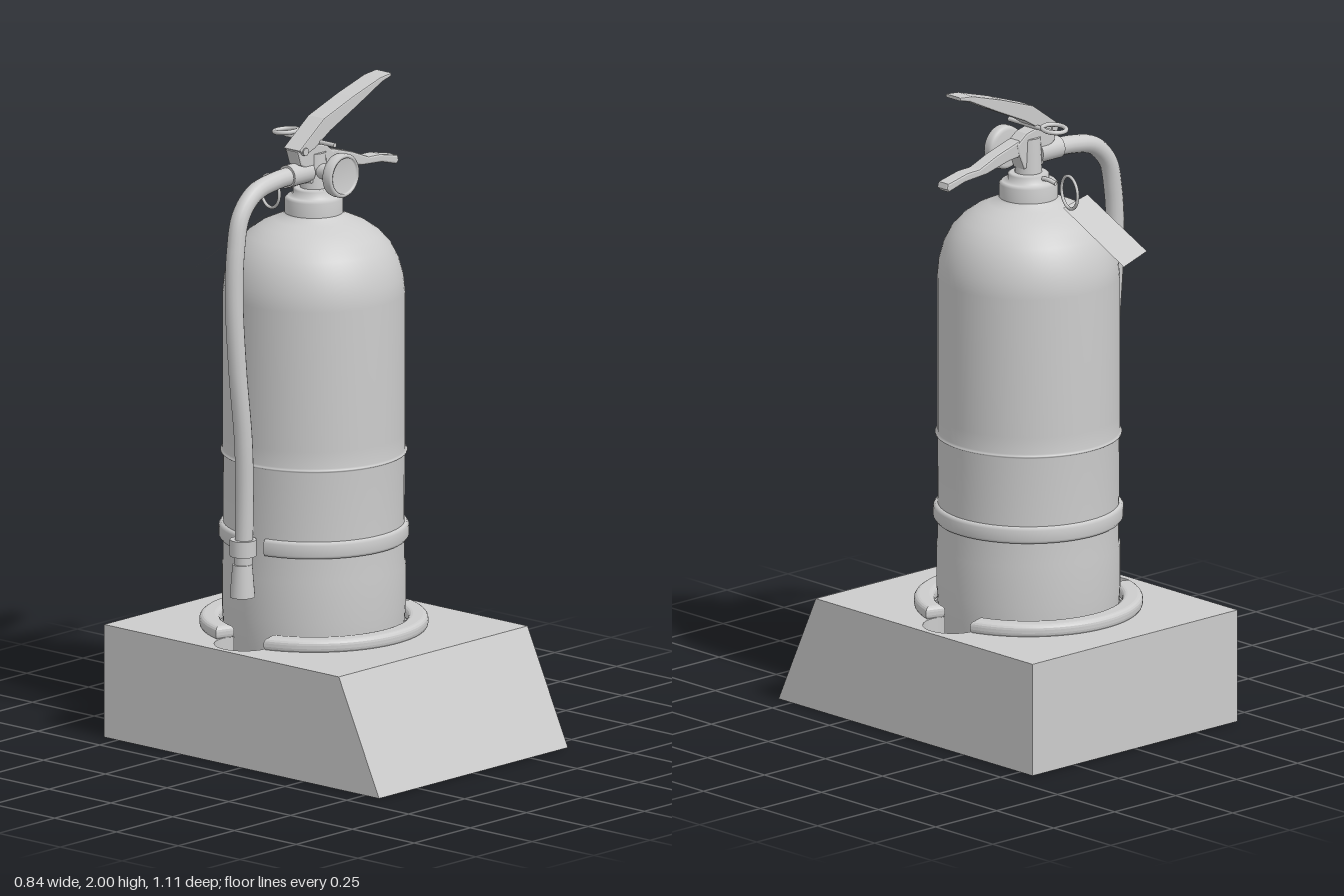
import * as THREE from 'three';

const TANK_Z = -0.088;
const grey = new THREE.MeshStandardMaterial({ color: 0xcccccc, side: THREE.DoubleSide });
grey.name = 'plain grey';

function add(parent, name, geometry, x = 0, y = 0, z = 0) {
  const mesh = new THREE.Mesh(geometry, grey);
  mesh.name = name;
  mesh.position.set(x, y, z);
  parent.add(mesh);
  return mesh;
}

const v2 = (list) => list.map(([x, y]) => new THREE.Vector2(x, y));
const v3 = (list) => list.map((p) => new THREE.Vector3(...p));
const lathe = (list, start = 0, sweep = Math.PI * 2) => new THREE.LatheGeometry(v2(list), 64, start, sweep);
const tube = (list, r, n = 40) => new THREE.TubeGeometry(new THREE.CatmullRomCurve3(v3(list)), n, r, 14);

// Open faceted wall between two closed loops of points
function skirt(low, high) {
  const pos = [];
  low.forEach((a, i) => {
    const j = (i + 1) % low.length;
    for (const p of [a, low[j], high[j], a, high[j], high[i]]) pos.push(p[0], p[1], p[2]);
  });
  const g = new THREE.BufferGeometry();
  g.setAttribute('position', new THREE.Float32BufferAttribute(pos, 3));
  g.computeVertexNormals();
  return g;
}

// Flat profile in XY given thickness along z, centred on z = 0
function slab(list, width, bevel = 0.006) {
  const g = new THREE.ExtrudeGeometry(new THREE.Shape(v2(list)), {
    depth: width - bevel * 2, bevelEnabled: true, bevelSize: bevel, bevelOffset: -bevel,
    bevelThickness: bevel, bevelSegments: 2,
  });
  return g.translate(0, 0, bevel - width / 2);
}

// Round recess with a finger notch on each side
function recess(path) {
  const c = -TANK_Z, a = 0.2886, b = 2.052, pi = Math.PI;
  path.absarc(0.31, c, 0.09, -b, b);
  path.absarc(0, c, 0.28, a, pi - a);
  path.absarc(-0.31, c, 0.09, pi - b, pi + b);
  path.absarc(0, c, 0.28, pi + a, 2 * pi - a);
  return path;
}

function buildBase(root) {
  const base = new THREE.Group();
  base.name = 'base';
  root.add(base);
  const rect = (y, front) => [[-0.42, y, front], [0.42, y, front], [0.42, y, -0.555], [-0.42, y, -0.555]];
  add(base, 'baseWalls', skirt(rect(0, 0.558), rect(0.348, 0.395)));

  const top = new THREE.Shape(v2([[-0.42, -0.395], [0.42, -0.395], [0.42, 0.555], [-0.42, 0.555]]));
  top.holes.push(recess(new THREE.Path()));
  add(base, 'baseTop', new THREE.ShapeGeometry(top, 32).rotateX(-Math.PI / 2), 0, 0.348);

  const outline = recess(new THREE.Shape());
  const pts = outline.getPoints(32);
  const level = (y) => pts.map((p) => [p.x, y, -p.y]);
  add(base, 'recessWall', skirt(level(0.15), level(0.348)));
  add(base, 'recessFloor', new THREE.ShapeGeometry(outline, 32).rotateX(-Math.PI / 2), 0, 0.15);

  // Raised rim in two arcs, interrupted by the notches
  for (const turn of [0, Math.PI]) {
    const arc = new THREE.Shape();
    const a = 0.33;
    arc.absarc(0, 0, 0.327, a, Math.PI - a);
    arc.absarc(0, 0, 0.297, Math.PI - a, a, true);
    const g = new THREE.ExtrudeGeometry(arc, {
      depth: 0.01, bevelSize: 0.016, bevelThickness: 0.016, bevelSegments: 4, curveSegments: 40,
    });
    add(base, 'rim', g.rotateX(-Math.PI / 2), 0, 0.359, TANK_Z).rotation.y = turn;
  }
}

function buildTank(body) {
  // Cylinder with a slight label ridge and a rounded shoulder
  add(body, 'tank', lathe([
    [0, 0.165], [0.2, 0.165], [0.245, 0.19], [0.265, 0.25], [0.272, 0.36], [0.276, 0.42], [0.276, 0.545],
    [0.272, 0.55], [0.272, 0.67], [0.273, 0.884], [0.28, 0.889], [0.28, 0.893], [0.274, 0.898],
    [0.274, 0.95], [0.274, 1.38], [0.269, 1.43], [0.255, 1.48], [0.232, 1.525], [0.2, 1.56],
    [0.16, 1.588], [0.12, 1.606], [0.092, 1.618], [0.085, 1.63],
  ]));
  add(body, 'strap', lathe([
    [0.27, 0.62], [0.279, 0.621], [0.285, 0.63], [0.285, 0.662], [0.279, 0.671], [0.27, 0.672],
  ], Math.PI * 1.5 + 0.18, Math.PI * 2 - 0.36));
  add(body, 'collar', lathe([
    [0.088, 1.615], [0.088, 1.668], [0.08, 1.676], [0.062, 1.677], [0.062, 1.697], [0.056, 1.702], [0, 1.702],
  ]));
}

function buildValve(body) {
  const valve = new THREE.Group();
  valve.name = 'valve';
  body.add(valve);
  add(valve, 'stem', new THREE.CylinderGeometry(0.036, 0.042, 0.12, 24), 0, 1.75);
  add(valve, 'valveBlock', slab([
    [-0.1, 1.83], [-0.085, 1.785], [-0.05, 1.765], [-0.04, 1.72], [0.04, 1.72], [0.06, 1.765],
    [0.07, 1.8], [0.03, 1.83], [-0.03, 1.845], [-0.075, 1.84],
  ], 0.05));
  // Upper squeeze lever and lower carrying handle
  add(valve, 'upperLever', slab([
    [-0.1, 1.835], [-0.075, 1.815], [-0.03, 1.83], [0.04, 1.872], [0.16, 1.927], [0.27, 1.98],
    [0.31, 1.99], [0.31, 2.0], [0.26, 1.995], [0.14, 1.96], [0.01, 1.915],
  ], 0.066, 0.004));
  add(valve, 'lowerHandle', slab([
    [0.03, 1.765], [0.1, 1.757], [0.19, 1.735], [0.28, 1.728], [0.345, 1.71], [0.355, 1.72], [0.35, 1.737],
    [0.27, 1.755], [0.22, 1.757], [0.15, 1.785], [0.06, 1.812], [0.03, 1.81],
  ], 0.046));
  add(valve, 'pivotPin', new THREE.CylinderGeometry(0.012, 0.012, 0.074, 16).rotateX(Math.PI / 2), -0.075, 1.828);

  // Pressure gauge facing forward
  add(valve, 'gaugeNeck', new THREE.CylinderGeometry(0.024, 0.024, 0.1, 20).rotateX(Math.PI / 2), 0, 1.755, 0.05);
  add(valve, 'gauge', lathe([
    [0, 0], [0.055, 0], [0.065, 0.006], [0.067, 0.016], [0.067, 0.034], [0.062, 0.039], [0.055, 0.038],
    [0.055, 0.03], [0, 0.03],
  ]).rotateX(Math.PI / 2), 0, 1.755, 0.088);

  // Safety pin with its pull ring
  add(valve, 'safetyPin', new THREE.CylinderGeometry(0.007, 0.007, 0.2, 12).rotateX(Math.PI / 2), -0.005, 1.845, -0.01);
  add(valve, 'pinRing', new THREE.TorusGeometry(0.036, 0.007, 10, 32).rotateX(Math.PI / 2 - 0.1), -0.005, 1.857, -0.108);
  // Tag loop hanging behind the neck
  add(valve, 'tagWire', tube([[0, 1.69, -0.04], [-0.005, 1.692, -0.08], [-0.01, 1.685, -0.11]], 0.007, 12));
  const loop = add(valve, 'tagLoop', new THREE.TorusGeometry(0.05, 0.005, 10, 36), -0.022, 1.665, -0.157);
  loop.rotation.y = Math.PI / 2 - 0.25;
}

function buildHose(body) {
  add(body, 'hoseFitting', new THREE.CylinderGeometry(0.034, 0.034, 0.09, 20).rotateZ(Math.PI / 2), -0.075, 1.755);
  add(body, 'hose', tube([
    [-0.06, 1.755, 0], [-0.18, 1.75, 0], [-0.265, 1.73, 0], [-0.325, 1.67, 0], [-0.351, 1.57, 0.003],
    [-0.36, 1.42, 0.005], [-0.35, 1.2, 0.01], [-0.325, 0.98, 0.01], [-0.314, 0.8, 0.005], [-0.314, 0.58, 0],
  ], 0.028, 80));
  add(body, 'hoseClip', new THREE.CylinderGeometry(0.04, 0.04, 0.05, 24), -0.315, 0.646);
  add(body, 'nozzle', new THREE.CylinderGeometry(0.03, 0.038, 0.1, 24), -0.318, 0.545);
}

export function createModel() {
  const root = new THREE.Group();
  root.name = 'extinguisherOnStand';
  buildBase(root);
  const body = new THREE.Group();
  body.name = 'extinguisher';
  body.position.z = TANK_Z;
  root.add(body);
  buildTank(body);
  buildValve(body);
  buildHose(body);

  // Paper tag lying on the shoulder at the back
  const tag = new THREE.BufferGeometry().setFromPoints(v3([
    [-0.17, 1.612, -0.165], [-0.005, 1.618, -0.235], [-0.085, 1.456, -0.415], [-0.25, 1.456, -0.34],
  ]));
  tag.setIndex([0, 1, 2, 0, 2, 3]);
  tag.computeVertexNormals();
  add(root, 'tag', tag);
  return root;
}
